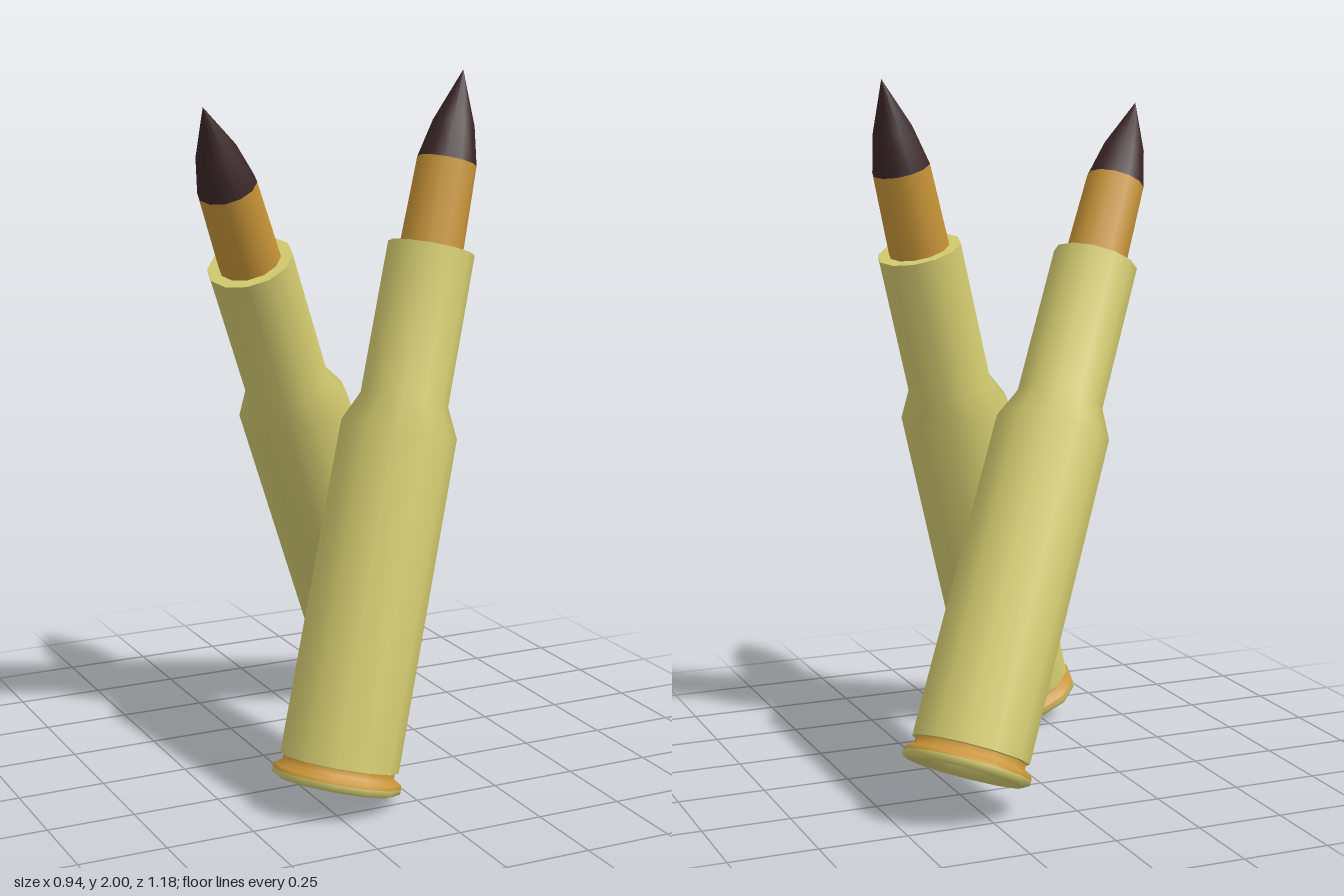
import * as THREE from 'three';

const SIDES = 12;

const brass = new THREE.MeshStandardMaterial({ color: 0xd4cc70 });
brass.name = 'brass';
const copper = new THREE.MeshStandardMaterial({ color: 0xc89538 });
copper.name = 'copper';
const darkTip = new THREE.MeshStandardMaterial({ color: 0x3b2627 });
darkTip.name = 'dark tip';

// Turned part from [radius, height] pairs, listed from the bottom upwards
function turned(name, profile, material) {
  const points = profile.map(([r, y]) => new THREE.Vector2(r, y));
  const mesh = new THREE.Mesh(new THREE.LatheGeometry(points, SIDES), material);
  mesh.name = name;
  return mesh;
}

// One cartridge standing on its base centre and pointing at its tip
function cartridge(name, base, tip) {
  const group = new THREE.Group();
  group.name = name;
  const axis = tip.clone().sub(base);
  const length = axis.length();

  group.add(
    // Base: recessed primer, sloping ring and rim
    turned('primer', [[0, 0.03], [0.11, 0.03]], copper),
    turned('baseRing', [[0.11, 0.03], [0.125, 0.01], [0.168, 0]], brass),
    turned('rim', [[0.168, 0], [0.182, 0.008], [0.182, 0.022]], brass),
    turned('extractorGroove', [[0.182, 0.022], [0.18, 0.034], [0.158, 0.046], [0.158, 0.064]], copper),
    // Case: tapered body, shoulder, neck and mouth
    turned('caseFoot', [[0.156, 0.062], [0.168, 0.064]], brass),
    turned('caseBody', [[0.168, 0.064], [0.165, 1.01], [0.125, 1.095], [0.124, 1.53]], brass),
    turned('caseMouth', [[0.124, 1.53], [0.085, 1.53]], brass),
    // Bullet
    turned('bulletJacket', [[0.091, 1.5], [0.085, 1.78]], copper),
    turned('bulletTip', [[0.085, 1.78], [0.06, 1.89], [0, length]], darkTip)
  );

  group.position.copy(base);
  group.quaternion.setFromUnitVectors(new THREE.Vector3(0, 1, 0), axis.normalize());
  return group;
}

export function createModel() {
  const model = new THREE.Group();
  model.name = 'crossedCartridges';
  model.add(
    cartridge('frontCartridge', new THREE.Vector3(-0.215, 0.057, 0.418), new THREE.Vector3(0.34, 2, 0.1)),
    cartridge('backCartridge', new THREE.Vector3(0.3, 0.127, -0.415), new THREE.Vector3(-0.475, 1.925, 0.145))
  );
  return model;
}
